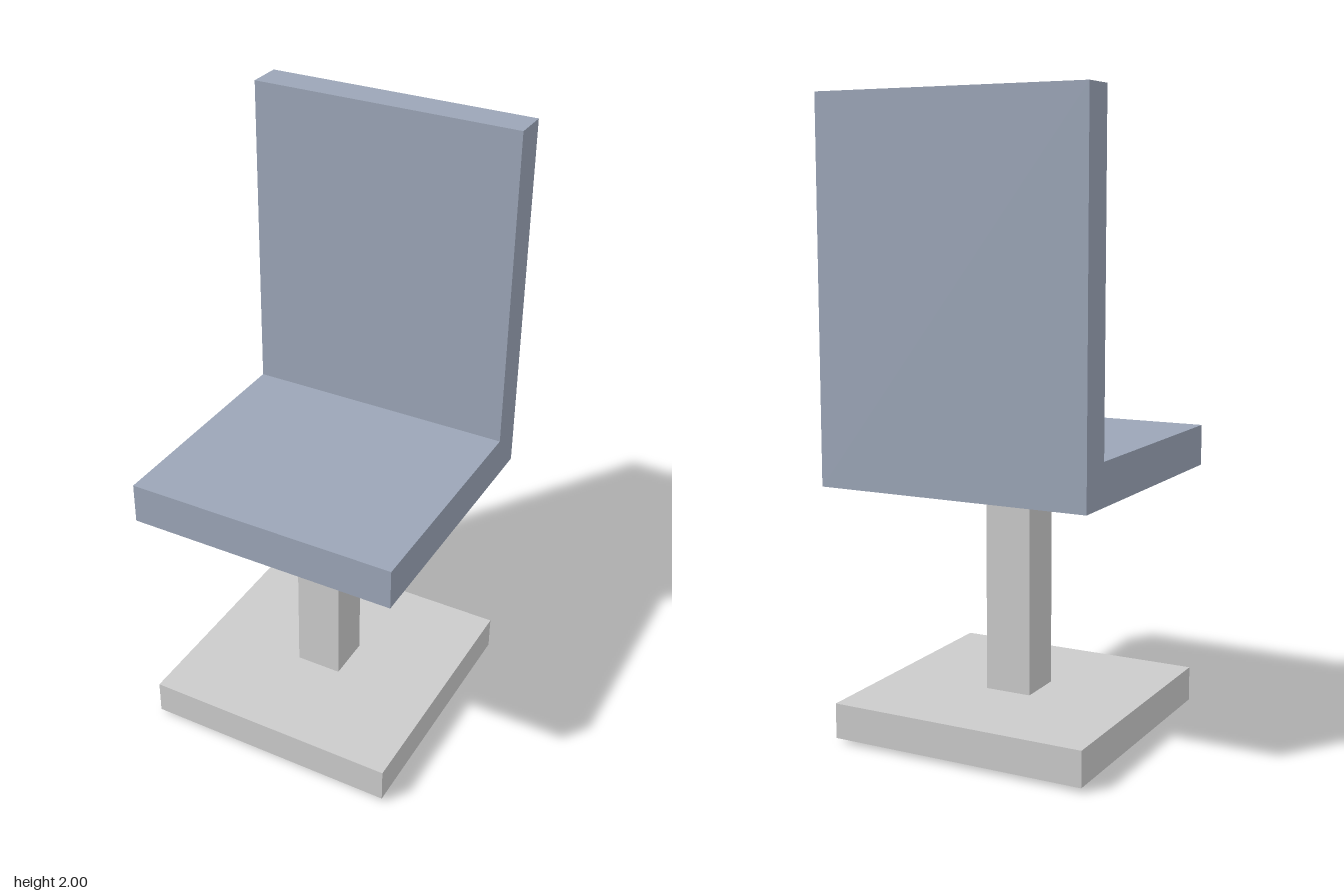
import * as THREE from 'three';

export function createModel() {
  const model = new THREE.Group();
  const grey = new THREE.MeshStandardMaterial({ color: 0xcccccc });
  const blue = new THREE.MeshStandardMaterial({ color: 0x9ba5b7 });

  function add(name, geometry, material) {
    const mesh = new THREE.Mesh(geometry, material);
    mesh.name = name;
    model.add(mesh);
  }

  // Square block centred on the y axis, between two heights
  function block(width, bottom, top) {
    return new THREE.BoxGeometry(width, top - bottom, width).translate(0, (bottom + top) / 2, 0);
  }

  // Seat and backrest: one L-shaped side profile (z, y) extruded across the width
  const half = 0.445;
  const profile = new THREE.Shape([
    [-half, 0.82], [half, 0.82], [half, 0.953],
    [-0.33, 0.953], [-0.33, 2], [-half, 2],
  ].map(([z, y]) => new THREE.Vector2(z, y)));
  const seat = new THREE.ExtrudeGeometry(profile, { depth: half * 2, bevelEnabled: false });
  seat.translate(0, 0, -half).rotateY(-Math.PI / 2);
  add('seatAndBackrest', seat, blue);

  // Post runs through the base plate and stands slightly proud underneath
  add('post', block(0.154, 0, 0.82), grey);
  add('basePlate', block(0.85, 0.014, 0.127), grey);

  return model;
}
